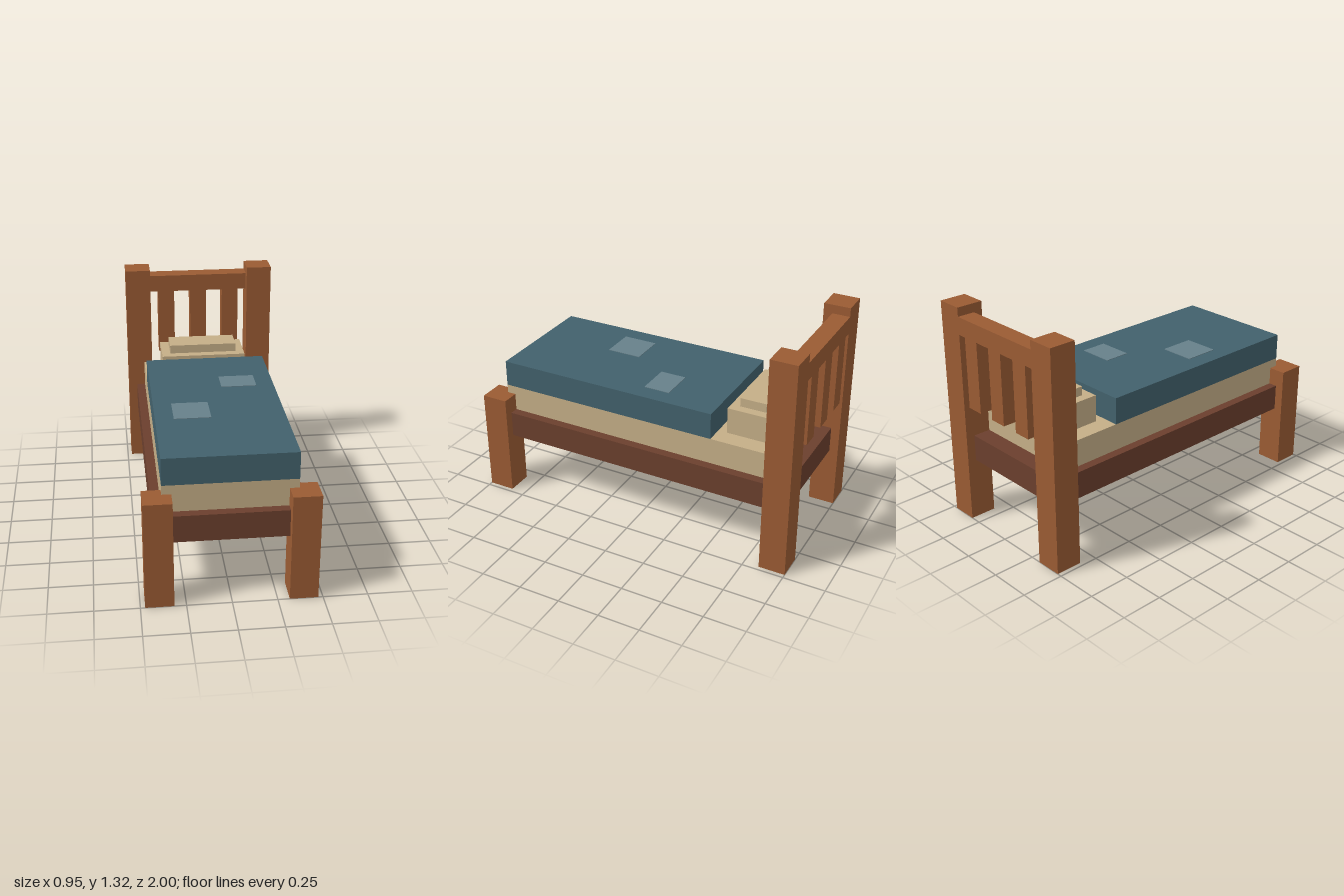
import * as THREE from 'three';

// All parts sit on a block grid: the bed is 38 blocks long.
const U = 2 / 38;

const material = (name, color) => {
  const m = new THREE.MeshStandardMaterial({ color });
  m.name = name;
  return m;
};

export function createModel() {
  const wood = material('wood', 0x9a5b33);
  const darkWood = material('dark wood', 0x6b3f2d);
  const linen = material('linen', 0xc5ae87);
  const blue = material('blanket blue', 0x42616c);
  const paleBlue = material('patch blue', 0x67808a);

  const bed = new THREE.Group();
  bed.name = 'bed';

  // Box given by its limits, in blocks
  const block = (name, mat, [x0, x1], [y0, y1], [z0, z1]) => {
    const geo = new THREE.BoxGeometry((x1 - x0) * U, (y1 - y0) * U, (z1 - z0) * U);
    const mesh = new THREE.Mesh(geo, mat);
    mesh.position.set((x0 + x1) / 2 * U, (y0 + y1) / 2 * U, (z0 + z1) / 2 * U);
    mesh.name = name;
    bed.add(mesh);
  };

  // Corner posts
  for (const [side, x] of [['left', [6, 9]], ['right', [-9, -6]]]) {
    block(side + 'HeadPost', wood, x, [0, 25], [-19, -16]);
    block(side + 'FootPost', wood, x, [0, 12], [16, 19]);
  }

  // Headboard: top rail with three hanging slats
  block('headRail', wood, [-6, 6], [22, 24], [-19, -17]);
  for (const x of [-4, 0, 4]) {
    block('headSlat', wood, [x - 1, x + 1], [14, 22], [-19, -17]);
  }

  // Base and bedding
  block('bedBase', darkWood, [-8, 8], [7, 10], [-18, 18]);
  block('mattress', linen, [-7, 7], [10, 13], [-16, 17]);
  block('blanket', blue, [-7, 7], [13, 16], [-9, 17]);
  block('pillow', linen, [-5, 5], [13, 16], [-15, -10]);
  block('pillowTop', linen, [-4, 4], [16, 17], [-14, -11]);

  // Thin patches on the blanket
  block('upperPatch', paleBlue, [1, 5], [16, 16.06], [-3, 0]);
  block('lowerPatch', paleBlue, [-5, -1], [16, 16.06], [4, 8]);

  return bed;
}
